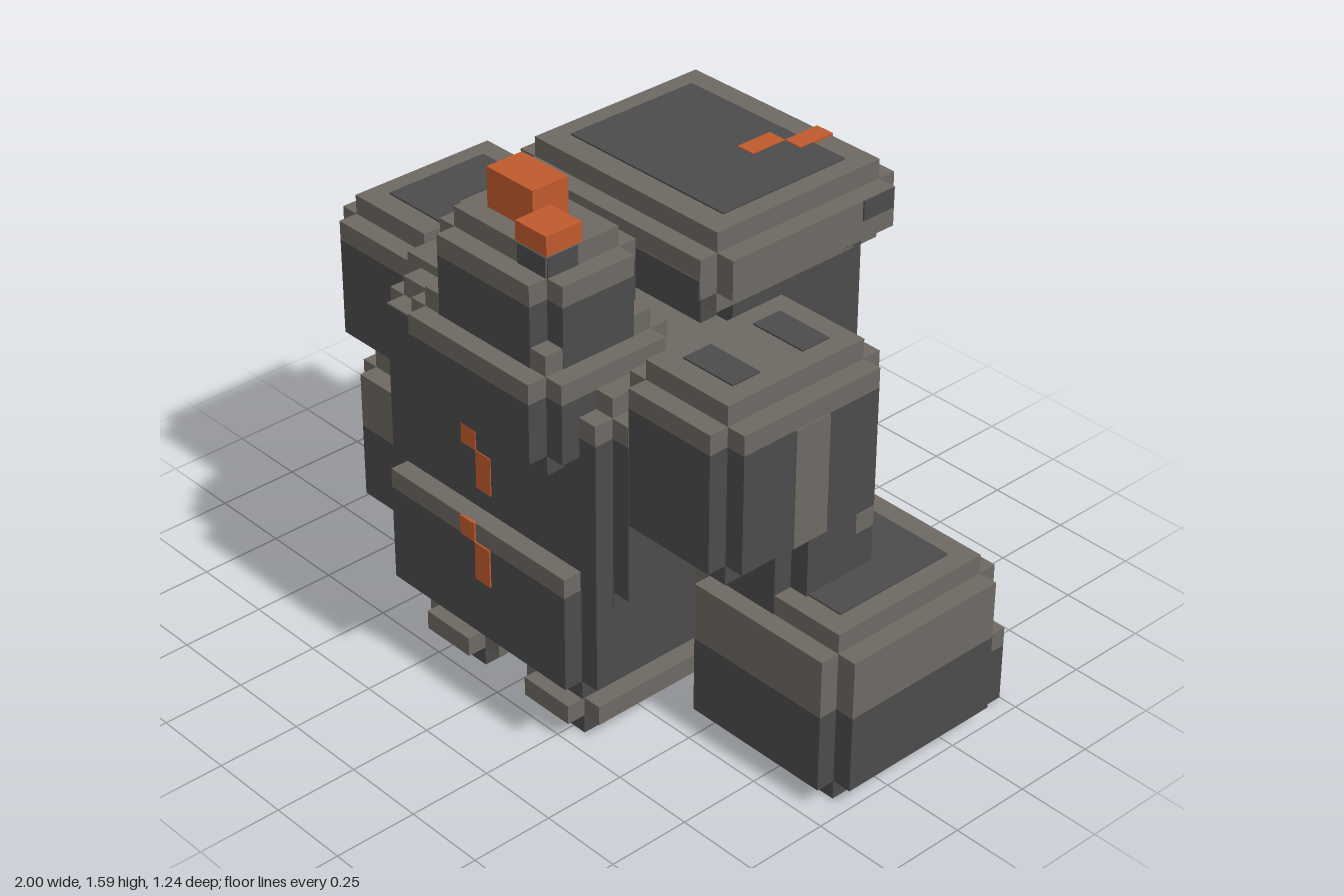
import * as THREE from 'three';

const U = 1 / 17; // one block; all coordinates below are in blocks

export function createModel() {
  const root = new THREE.Group();
  root.name = 'stoneGolem';

  const make = (name, hex) => {
    const m = new THREE.MeshStandardMaterial({ color: hex });
    m.name = name;
    return m;
  };
  const stone = make('paleStone', 0x6d6862);
  const rock = make('darkRock', 0x4b4b4b);
  const lava = make('lavaOrange', 0xc0592c);

  function block(parent, name, mat, x0, x1, y0, y1, z0, z1) {
    const mesh = new THREE.Mesh(new THREE.BoxGeometry((x1 - x0) * U, (y1 - y0) * U, (z1 - z0) * U), mat);
    mesh.position.set((x0 + x1) * U / 2, (y0 + y1) * U / 2, (z0 + z1) * U / 2);
    mesh.name = name;
    parent.add(mesh);
  }

  // Box with its edges notched by one block; bands are [startHeight, material] from the bottom up
  function boulder(name, [x0, x1], [y0, y1], [z0, z1], bands, grow = 0) {
    const g = new THREE.Group();
    g.name = name;
    for (let axis = 0; axis < 3; axis++) {
      const i = [0, 1, 2].map((k) => (k === axis ? 0 : 1) - grow);
      bands.forEach(([start, mat], b) => {
        const lo = Math.max(y0 + i[1], b ? start : -99);
        const hi = Math.min(y1 - i[1], b + 1 < bands.length ? bands[b + 1][0] : 99);
        if (hi > lo) block(g, name + 'Layer', mat, x0 + i[0], x1 - i[0], lo, hi, z0 + i[2], z1 - i[2]);
      });
    }
    root.add(g);
  }

  // Thin painted plate: the axis whose two bounds are equal becomes the thickness
  function plate(name, mat, ...b) {
    for (let k = 0; k < 6; k += 2) {
      if (b[k] === b[k + 1]) { b[k] -= 0.08; b[k + 1] += 0.08; }
    }
    block(root, name, mat, ...b);
  }

  // Torso and belly
  boulder('torso', [-8, 8], [8, 19], [-4.5, 8.5], [[8, rock], [17, stone]], 0.03);
  plate('chestShade', rock, -7, -5, 17, 18, 8.5, 8.5);
  boulder('belly', [-7, 7], [3, 11], [-2.5, 9.5], [[3, rock], [9, stone]]);

  // Lava crack running down the front
  plate('chestCrackUpper', lava, -2, -1, 13, 15, 8.5, 8.5);
  plate('chestCrackLower', lava, -1, 0, 11, 13, 8.5, 8.5);
  plate('bellyCrackUpper', lava, -1, 0, 9, 10, 9.5, 9.5);
  plate('bellyCrackLower', lava, 0, 1, 7, 9, 9.5, 9.5);

  // Jaw, head and glowing crest
  boulder('jaw', [-4, 6], [15, 21], [2.5, 10.5], [[15, rock], [19, stone]]);
  boulder('head', [-3, 5], [18, 25], [3.5, 9.5], [[18, rock], [23, stone]], 0.03);
  plate('crownShadeFront', rock, 2.2, 4, 24, 25, 8.5, 8.5);
  plate('crownShadeSide', rock, 4, 4, 24, 25, 6.8, 8.5);
  plate('crownShadeTop', rock, 2, 2.7, 25, 25, 5.6, 6.5);
  block(root, 'crestLarge', lava, -1, 2, 25, 27, 5.5, 7.5);
  block(root, 'crestSmall', lava, 2, 4, 25, 26, 6.5, 8.5);

  // Back pack of rock with an overhanging lid
  boulder('backRock', [-6, 6], [11, 22], [-9.5, 0.5], [[11, rock]]);
  boulder('backLid', [-7, 7], [20, 24], [-10.5, 1.5], [[20, stone]]);
  plate('lidTopPatch', rock, -5, 5, 24, 24, -8.3, -0.8);
  plate('lidFrontPatch', rock, -6, 6, 21, 22, 1.5, 1.5);
  plate('lidCornerPatch', rock, 7, 7, 22, 23, -9.4, -7.5);

  // Lava over the lid and down the back
  block(root, 'lidLavaTop', lava, 2, 3, 23.9, 24.12, -9.55, -7.5);
  block(root, 'lidLavaTip', lava, 1, 2, 23.9, 24.12, -7.5, -5.5);
  plate('lidLavaRiser', lava, 2, 3, 23, 24, -9.5, -9.5);
  plate('lidLavaStep', lava, 2, 3, 23, 23, -10.5, -9.5);
  plate('lidLavaBack', lava, 2, 3, 21, 23, -10.5, -10.5);
  plate('backLavaLeft', lava, 2, 4, 15, 19, -9.5, -9.5);
  plate('backLavaChip', lava, 1, 2, 18.5, 19.5, -9.5, -9.5);
  plate('backLavaRight', lava, -4, -2, 15, 19, -9.5, -9.5);

  // Upper arms: the left one is higher and further forward
  boulder('leftUpperArm', [7, 14], [12, 21], [-2.5, 7.5], [[12, rock], [19, stone]]);
  plate('leftArmStripe', stone, 14, 14, 13, 19, 1.5, 3.5);
  plate('leftArmPatchBack', rock, 9, 12, 21, 21, -0.4, 1.2);
  plate('leftArmPatchFront', rock, 9, 12, 21, 21, 3.7, 5.3);
  boulder('rightUpperArm', [-14, -7], [12, 20], [-3.5, 6.5], [[12, rock], [18, stone]]);
  plate('rightArmPatch', rock, -12, -9.3, 20, 20, -1.4, 4.3);
  plate('rightArmPatchArm', rock, -9.3, -8, 20, 20, 2.4, 4.3);
  block(root, 'rightShoulderLink', stone, -8, -5, 17, 19.5, 1.5, 6.5);
  plate('shoulderPatch', rock, -7, -5.6, 19.5, 19.5, 3, 5.3);

  // Forearms, fists, fingers and feet
  for (const s of [1, -1]) {
    const side = s > 0 ? 'left' : 'right';
    const span = (a, b) => (s > 0 ? [a, b] : [-b, -a]);
    boulder(side + 'Forearm', span(8, 13), [7, 13], [-3.5, 2.5], [[7, rock]], 0.03);
    plate(side + 'ElbowBack', stone, ...span(9, 12), 11, 12, -3.5, -3.5);
    plate(side + 'ElbowSide', stone, s * 13, s * 13, 11, 12, -2.5, -1.4);
    plate(side + 'ElbowTop', stone, ...span(9, 12), 12, 12, -3.5, -2.5);
    boulder(side + 'Fist', span(7, 17), [0, 9], [-7.5, 3.5], [[0, rock], [5, stone]]);
    plate(side + 'FistPatch', rock, ...span(9, 15), 9, 9, -5.4, 1.4);
    for (const x of [8, 11, 14]) {
      block(root, side + 'Finger', rock, ...span(x, x + 2), 0, 3, -8.5, -7.5);
      block(root, side + 'FingerTip', stone, ...span(x, x + 2), 3, 4, -8.5, -7.5);
    }
    boulder(side + 'Foot', span(1, 6), [0, 3], [-2.5, 8.5], [[0, rock], [1, stone], [2, rock]]);
  }
  return root;
}
